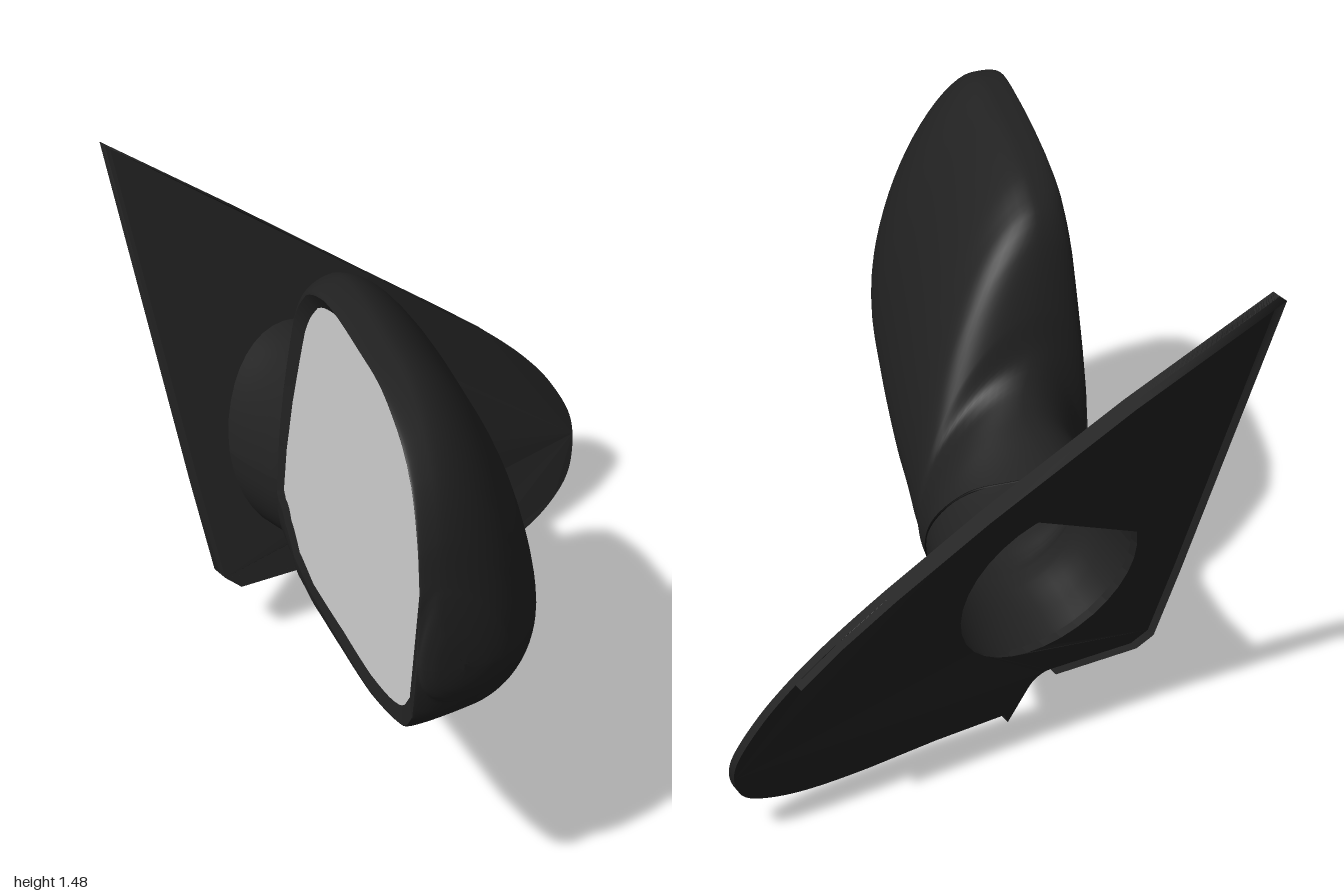
import * as THREE from 'three';

const black = new THREE.MeshStandardMaterial({ color: 0x222222, side: THREE.DoubleSide });
const seamBlack = new THREE.MeshStandardMaterial({ color: 0x0c0c0c });
const grey = new THREE.MeshStandardMaterial({ color: 0xcccccc, side: THREE.DoubleSide });

// Sections along z: z, left x, right x, top y, bottom y, upper and lower opening (0 = closed)
const KEYS = [
  [-0.76, -0.37, 0.23, 0.89, 0.28, 0, 0],
  [-0.60, -0.375, 0.20, 0.89, 0.28, 0, 0],
  [-0.45, -0.385, 0.155, 0.91, 0.31, 0, 0],
  [-0.33, -0.40, 0.115, 0.95, 0.335, 0, 0],
  [-0.27, -0.44, 0.095, 1.00, 0.345, 0, 0],
  [-0.245, -0.47, 0.085, 1.05, 0.35, 0.35, 0.05],
  [-0.22, -0.48, 0.075, 1.15, 0.355, 0.6, 0.22],
  [-0.15, -0.502, 0.05, 1.34, 0.37, 0.83, 0.46],
  [-0.05, -0.534, 0.015, 1.42, 0.39, 0.93, 0.62],
  [0.10, -0.58, -0.035, 1.46, 0.42, 0.97, 0.71],
  [0.40, -0.68, -0.15, 1.48, 0.50, 0.98, 0.79],
  [0.65, -0.76, -0.26, 1.465, 0.575, 0.98, 0.88],
  [0.85, -0.82, -0.39, 1.35, 0.65, 0.97, 0.92],
  [0.93, -0.847, -0.48, 1.22, 0.70, 0.94, 0.92],
  [0.965, -0.858, -0.54, 1.11, 0.75, 0.9, 0.9],
  [0.975, -0.86, -0.56, 1.08, 0.765, 0, 0],
  [0.99, -0.835, -0.615, 1.01, 0.80, 0, 0],
  [0.997, -0.79, -0.665, 0.95, 0.84, 0, 0],
  [1.0, -0.72, -0.72, 0.89, 0.89, 0, 0],
];
const keyZ = KEYS.map(k => k[0]);
const sizes = new THREE.CubicInterpolant(keyZ, KEYS.flatMap(k => k.slice(1, 5)), 4);
const openings = new THREE.LinearInterpolant(keyZ, KEYS.flatMap(k => k.slice(5)), 2);

// Front surface of the mounting plate, leaning back and gently curved
const plateZ = (x, y) => -0.435 - 0.345 * y - (x > 0 ? 0.11 : 0.06) * x * x;

function section(z) {
  const [L, R, T, B] = sizes.evaluate(z);
  const [up, low] = openings.evaluate(z);
  const blend = THREE.MathUtils.smoothstep(z, -0.4, -0.12);
  return {
    L, R, T, B, up, low,
    cxUp: L + (0.42 - 0.14 * blend) * (R - L), cxLow: L + (0.42 + 0.13 * blend) * (R - L),
    my: B + (0.5 - 0.24 * blend) * (T - B), n: 1.8 - 0.2 * blend,
  };
}

// Outline of one section: upper rim, over the crown, down the outside, under to the lower rim
function outline(z) {
  const s = section(z), pts = [], N = 10, M = 18;
  const mid = (s.T + s.B) / 2, h = (s.T - s.B) / 2;
  const side = (u, edge, cx, rimY) => {
    const a = u * Math.PI / 2;
    const y = edge + (rimY - edge) * (1 - Math.cos(a));
    pts.push([cx + (s.L - cx + 0.08 * (y - 0.7)) * Math.sin(a), y]);
  };
  for (let i = N; i > 0; i--) side(i / N, s.T, s.cxUp, mid + h * s.up);
  for (let i = 0; i <= 2 * M; i++) {
    const a = Math.PI / 2 * (1 - i / M), upper = a > 0;
    const n = upper ? s.n : 2, cx = upper ? s.cxUp : s.cxLow;
    const c = Math.pow(Math.max(Math.cos(a), 0), 2 / n), v = Math.pow(Math.abs(Math.sin(a)), 2 / n);
    pts.push([cx + (s.R - cx) * c, upper ? s.my + (s.T - s.my) * v : s.my - (s.my - s.B) * v]);
  }
  for (let i = 1; i <= N; i++) side(i / N, s.B, s.cxLow, mid - h * s.low);
  return pts.map(([x, y]) => new THREE.Vector3(x, y, Math.max(z, plateZ(x, y) - 0.03)));
}

// Skin over rows of points
function skin(rows) {
  const w = rows[0].length, index = [];
  for (let i = 0; i < rows.length - 1; i++) {
    for (let j = 0; j < w - 1; j++) {
      const a = i * w + j, b = a + w;
      index.push(a, b, a + 1, a + 1, b, b + 1);
    }
  }
  const g = new THREE.BufferGeometry().setFromPoints(rows.flat());
  g.setIndex(index);
  g.computeVertexNormals();
  return g;
}

export function createModel() {
  const group = new THREE.Group();
  const add = (name, geometry, material) => {
    const mesh = new THREE.Mesh(geometry, material);
    mesh.name = name;
    group.add(mesh);
  };

  // Hollow arm flowing into the mirror housing
  const zs = [];
  for (let i = 0; i < KEYS.length - 1; i++) {
    for (let j = 0; j < 5; j++) zs.push(THREE.MathUtils.lerp(keyZ[i], keyZ[i + 1], j / 5));
  }
  zs.push(1);
  const rows = zs.map(outline);
  add('housingAndArm', skin(rows), black);

  // Rim folding inward to the flat plane of the glass
  const open = rows.filter((r, i) => zs[i] > -0.246 && zs[i] < 0.966);
  const rim = [...open.map(r => r[0]), ...open.map(r => r[r.length - 1]).reverse()];
  rim.push(rim[0]);
  const centre = new THREE.Box3().setFromPoints(rim).getCenter(new THREE.Vector3());
  const inner = rim.map(p => {
    const q = p.clone().sub(centre).multiplyScalar(0.92).add(centre);
    q.x = -0.435 - 0.32 * (q.z + 0.25) + 0.11 * (q.y - 0.95);
    return q;
  });
  add('rimLip', skin([rim, inner]), black);

  // Mirror glass filling the rim
  const hub = inner.reduce((sum, p) => sum.add(p), new THREE.Vector3()).divideScalar(inner.length);
  add('mirrorGlass', skin([inner, inner.map(() => hub.clone())]), grey);

  // Triangular mounting plate with rounded tail and arm opening
  const shape = new THREE.Shape();
  shape.moveTo(-0.54, 1.48);
  for (const [x, y] of [[-0.17, 1.215], [0.2, 0.94], [0.45, 0.755]]) shape.lineTo(x, y);
  shape.splineThru([[0.6, 0.64], [0.71, 0.54], [0.8, 0.43], [0.86, 0.3], [0.84, 0.19], [0.77, 0.11],
    [0.61, 0.045], [0.4, 0.02], [0.15, 0.03]].map(p => new THREE.Vector2(...p)));
  for (const [x, y] of [[-0.065, 0.04], [-0.085, 0], [-0.12, 0.13]]) shape.lineTo(x, y);
  shape.quadraticCurveTo(-0.135, 0.185, -0.18, 0.19);
  for (const [x, y] of [[-0.44, 0.2], [-0.485, 0.24], [-0.5, 0.5]]) shape.lineTo(x, y);
  const hole = new THREE.Path();
  hole.absellipse(-0.08, 0.585, 0.27, 0.285, 0, Math.PI * 2, true);
  shape.holes.push(hole);
  const plate = new THREE.ExtrudeGeometry(shape, { depth: 0.03, bevelEnabled: false, curveSegments: 16 });
  const pos = plate.attributes.position;
  for (let i = 0; i < pos.count; i++) {
    pos.setZ(i, plateZ(pos.getX(i), pos.getY(i)) - 0.03 + pos.getZ(i));
  }
  plate.computeVertexNormals();
  add('mountingPlate', plate, black);

  // Flange turned back along the upper and left edges of the plate
  const edge = [[0.71, 0.54], [0.6, 0.64], [0.45, 0.755], [0.2, 0.94], [-0.17, 1.215], [-0.54, 1.48],
    [-0.5, 0.5], [-0.485, 0.24], [-0.44, 0.2], [-0.18, 0.19]];
  add('plateFlange', skin([0, 0.06].map(d =>
    edge.map(([x, y]) => new THREE.Vector3(x, y, plateZ(x, y) - d)))), black);

  // Thin joint line on the outside of the arm
  const seam = [[-0.58, 0.87], [-0.48, 0.81], [-0.4, 0.7], [-0.345, 0.58], [-0.32, 0.49], [-0.29, 0.475],
    [-0.15, 0.485], [0.03, 0.5]].map(([z, y]) => {
    const s = section(z), upper = y > s.my;
    const v = Math.min(1, upper ? (y - s.my) / (s.T - s.my) : (s.my - y) / (s.my - s.B));
    const n = upper ? s.n : 2, cx = upper ? s.cxUp : s.cxLow;
    return new THREE.Vector3(cx + (s.R - cx) * Math.pow(1 - Math.pow(v, n), 1 / n), y, z);
  });
  add('jointLine', new THREE.TubeGeometry(new THREE.CatmullRomCurve3(seam), 60, 0.004, 6), seamBlack);

  return group;
}
